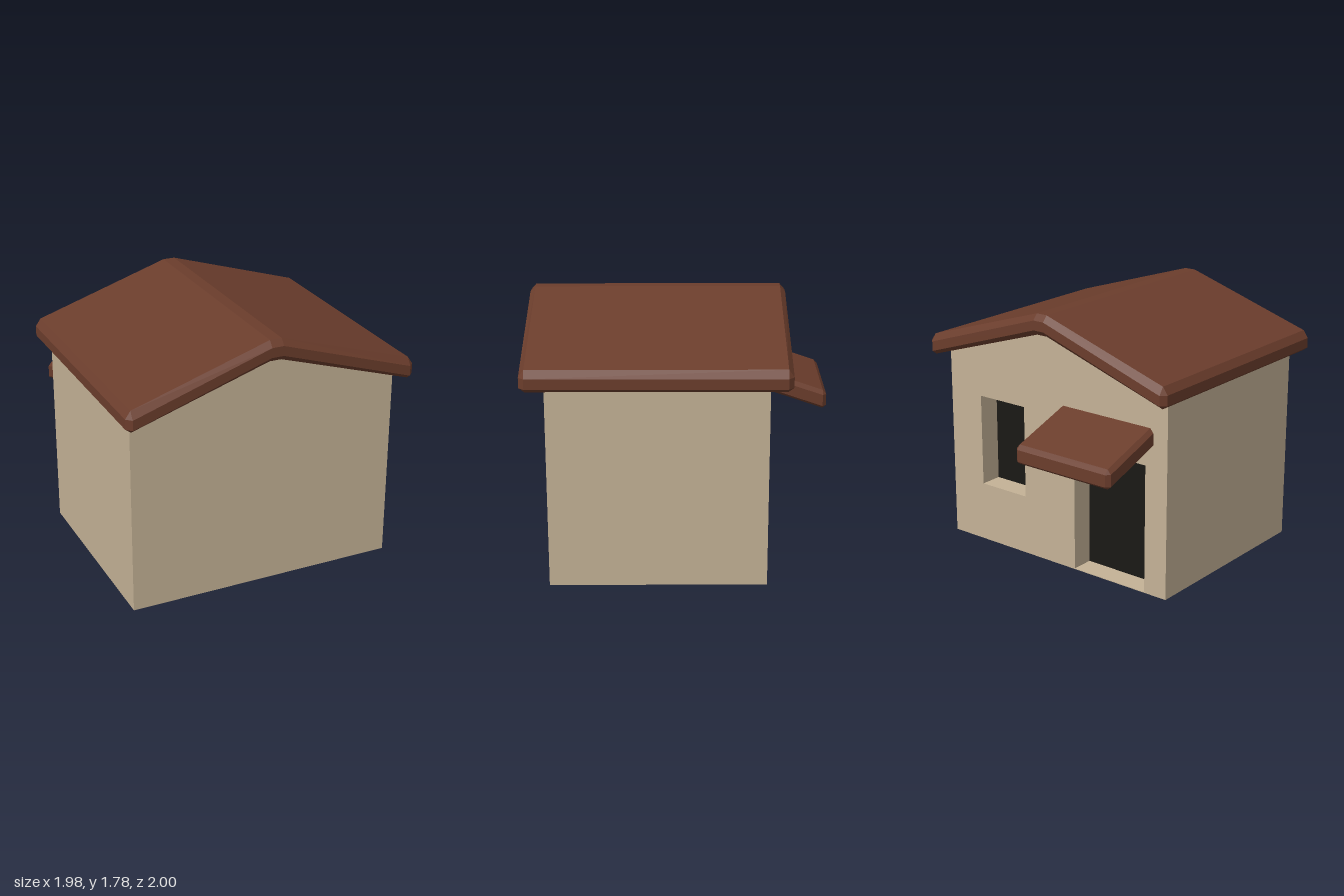
import * as THREE from 'three';

const mat = (color) => new THREE.MeshStandardMaterial({ color, flatShading: true });

// Outline of an axis-aligned rectangle
function rect(PathType, x0, y0, x1, y1) {
  const p = new PathType();
  p.moveTo(x0, y0);
  p.lineTo(x1, y0);
  p.lineTo(x1, y1);
  p.lineTo(x0, y1);
  p.closePath();
  return p;
}

// House outline seen from the gable side
function gableShape() {
  return new THREE.Shape([
    [-0.92, 0.025], [0.92, 0.025], [0.92, 1.375], [0, 1.645], [-0.92, 1.375],
  ].map(([x, y]) => new THREE.Vector2(x, y)));
}

function extrudeZ(shape, z0, z1) {
  const geo = new THREE.ExtrudeGeometry(shape, { depth: z1 - z0, bevelEnabled: false });
  return geo.translate(0, 0, z0);
}

// Chamfered slab: octagonal sections lofted along one axis.
// Each station is { s, y: [top, upperEdge, lowerEdge, bottom], tip }
function chamferedSlab(stations, u0, u1, b, place) {
  const rings = stations.map(({ s, y: [top, hi, lo, bot], tip }) => {
    const k = tip ? b : 0; // tips are drawn in to a plain rectangle
    return [
      [u0 + b, tip ? hi : top], [u1 - b, tip ? hi : top], [u1 - k, hi], [u1 - k, lo],
      [u1 - b, tip ? lo : bot], [u0 + b, tip ? lo : bot], [u0 + k, lo], [u0 + k, hi],
    ].map(([u, y]) => place(s, u, y));
  });
  const pos = [];
  const tri = (a, c, d) => {
    if (new THREE.Triangle(a, c, d).getArea() < 1e-7) return;
    for (const v of [a, c, d]) pos.push(v.x, v.y, v.z);
  };
  for (let r = 0; r < rings.length - 1; r++) {
    const [p, q] = [rings[r], rings[r + 1]];
    for (let i = 0; i < 8; i++) {
      const j = (i + 1) % 8;
      tri(p[i], p[j], q[j]);
      tri(p[i], q[j], q[i]);
    }
  }
  const first = rings[0], last = rings[rings.length - 1];
  for (let i = 1; i < 7; i++) {
    tri(first[0], first[i + 1], first[i]);
    tri(last[0], last[i], last[i + 1]);
  }
  const geo = new THREE.BufferGeometry();
  geo.setAttribute('position', new THREE.Float32BufferAttribute(pos, 3));
  geo.computeVertexNormals();
  return geo;
}

export function createModel() {
  const group = new THREE.Group();
  const wall = mat(0xc4b296);
  const tile = mat(0x6b3d2c);
  const dark = mat(0x1a1815);
  dark.side = THREE.DoubleSide;

  const add = (name, geo, material) => {
    const mesh = new THREE.Mesh(geo, material);
    mesh.name = name;
    group.add(mesh);
    return mesh;
  };

  // Main block and the thick wall with the door and window openings
  add('houseBody', extrudeZ(gableShape(), -0.39, 0.85), wall);
  const pierced = gableShape();
  pierced.holes.push(
    rect(THREE.Path, -0.75, 0.03, -0.17, 0.905), // door
    rect(THREE.Path, 0.26, 0.44, 0.65, 1.08), // window
  );
  add('doorWall', extrudeZ(pierced, -0.55, -0.39), wall);

  // Dark sheet behind both openings, reaching just below the floor
  add('darkPanel', new THREE.PlaneGeometry(1.44, 1.2).translate(-0.05, 0.6, -0.395), dark);

  // Gabled roof, swept from eave to eave
  const eave = [1.49, 1.44, 1.373, 1.347];
  const ridge = [1.78, 1.74, 1.675, 1.64];
  const roofStations = [
    { s: -0.99, y: eave, tip: true },
    { s: -0.955, y: eave },
    { s: -0.04, y: ridge },
    { s: 0.04, y: ridge },
    { s: 0.955, y: eave },
    { s: 0.99, y: eave, tip: true },
  ];
  add('roof', chamferedSlab(roofStations, -0.69, 1.0, 0.035,
    (s, u, y) => new THREE.Vector3(s, y, u)), tile);

  // Sloping awning above the door, rooted inside the wall
  const outer = [1.015, 0.985, 0.905, 0.885];
  const awningStations = [
    { s: -0.5, y: outer.map((y) => y + 0.163) },
    { s: -0.975, y: outer },
    { s: -1.0, y: outer, tip: true },
  ];
  add('awning', chamferedSlab(awningStations, -0.81, -0.055, 0.025,
    (s, u, y) => new THREE.Vector3(u, y, s)), tile);

  return group;
}
